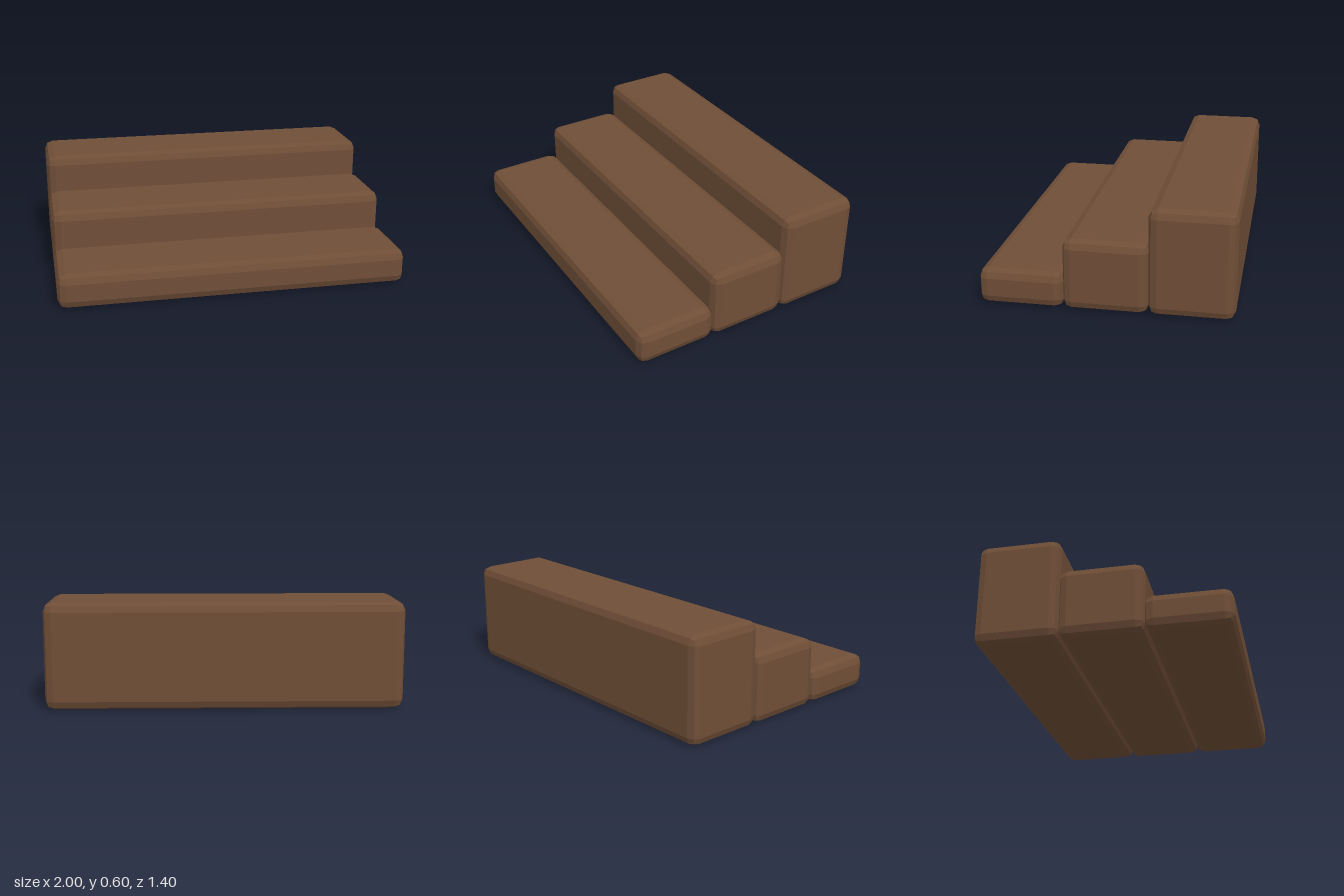
import * as THREE from 'three';
import { RoundedBoxGeometry } from 'three/addons/geometries/RoundedBoxGeometry.js';

const WIDTH = 2;
const DEPTH = 0.47;   // neighbouring steps overlap very slightly
const PITCH = 0.465;
const RISE = 0.2;
const BEVEL = 0.05;

export function createModel() {
  const model = new THREE.Group();
  model.name = 'steps';
  const wood = new THREE.MeshStandardMaterial({ color: 0x6f4e37, flatShading: true });

  // Three full-height blocks with faceted, rounded edges, rising to the back
  ['lowerStep', 'middleStep', 'upperStep'].forEach((name, i) => {
    const height = RISE * (i + 1);
    const step = new THREE.Mesh(new RoundedBoxGeometry(WIDTH, height, DEPTH, 1, BEVEL), wood);
    step.name = name;
    step.position.set(0, height / 2, PITCH * (1 - i));
    model.add(step);
  });

  return model;
}
